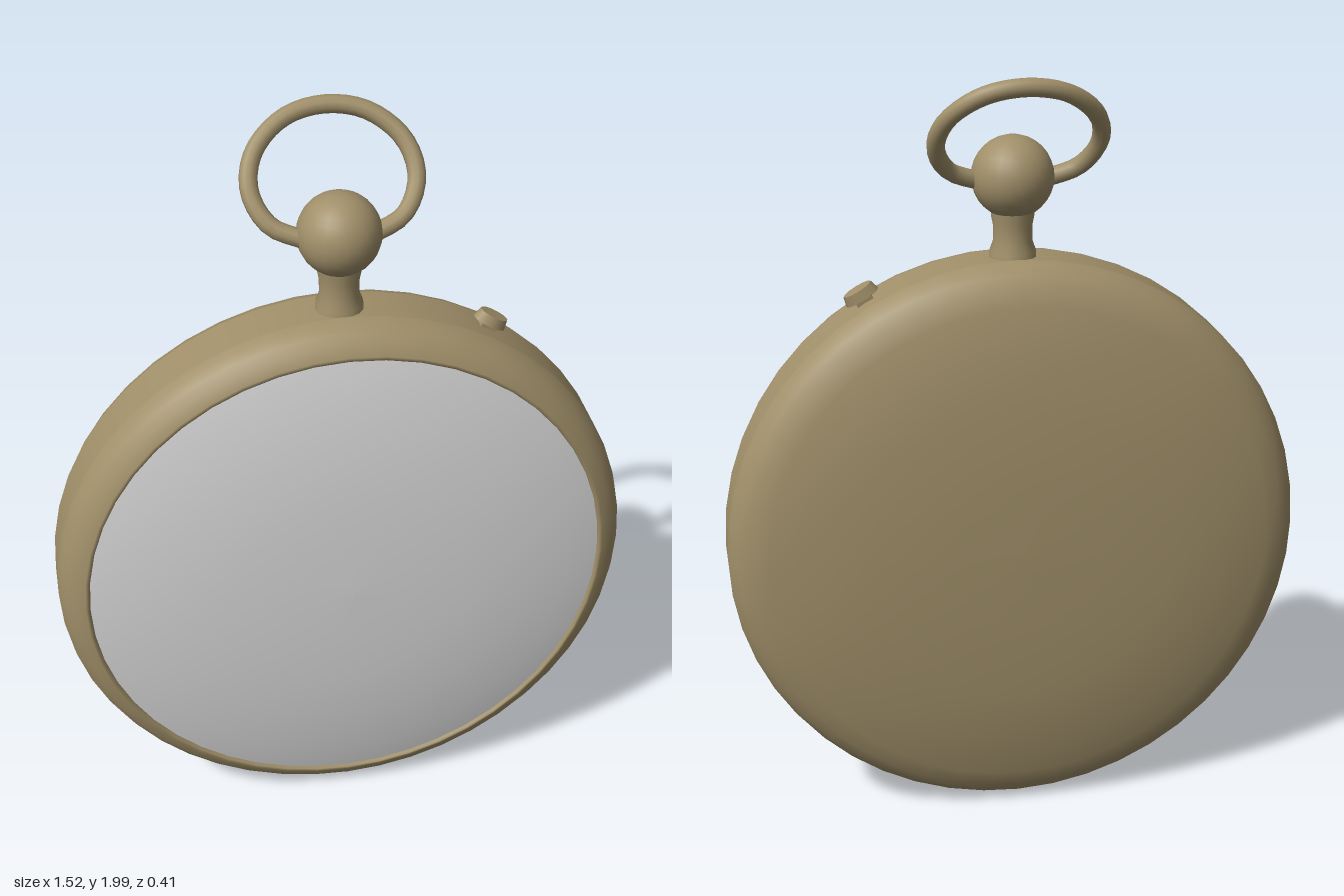
import * as THREE from 'three';

const CENTRE_Y = 0.765;

export function createModel() {
  const brass = new THREE.MeshStandardMaterial({ color: 0xa08f69 });
  brass.name = 'aged brass';
  const glass = new THREE.MeshStandardMaterial({ color: 0xd6d6d6 });
  glass.name = 'pale glass';

  const watch = new THREE.Group();
  watch.name = 'pocketWatch';

  const add = (name, geometry, material, x = 0, y = 0, z = 0, parent = watch) => {
    const mesh = new THREE.Mesh(geometry, material);
    mesh.name = name;
    mesh.position.set(x, y, z);
    parent.add(mesh);
    return mesh;
  };

  // Profile of [radius, z], listed from back to front, turned about the z axis
  const turned = (name, profile, material) => {
    const points = profile.map(([r, z]) => new THREE.Vector2(r, z));
    const geometry = new THREE.LatheGeometry(points, 48).rotateX(Math.PI / 2);
    return add(name, geometry, material, 0, CENTRE_Y, 0);
  };

  // Case: domed back, straight band, rounded bezel and domed glass
  turned('backCover', [[0, -0.204], [0.2, -0.202], [0.4, -0.193], [0.55, -0.173],
    [0.66, -0.148], [0.705, -0.131], [0.735, -0.108], [0.753, -0.082], [0.76, -0.06]], brass);
  turned('caseBand', [[0.76, -0.06], [0.76, 0.06]], brass);
  turned('bezel', [[0.76, 0.06], [0.755, 0.085], [0.742, 0.11], [0.722, 0.131],
    [0.695, 0.146], [0.686, 0.147], [0.682, 0.135]], brass);
  turned('glass', [[0.684, 0.138], [0.6, 0.158], [0.45, 0.181], [0.3, 0.193],
    [0.15, 0.199], [0, 0.201]], glass);

  // Flared neck and winding ball
  const neckProfile = [[0.062, 1.505], [0.06, 1.535], [0.051, 1.56], [0.051, 1.605],
    [0.056, 1.63], [0.056, 1.65]].map(([r, y]) => new THREE.Vector2(r, y));
  add('neck', new THREE.LatheGeometry(neckProfile, 16), brass);
  add('crownBall', new THREE.SphereGeometry(0.105, 24, 16), brass, 0, 1.725, 0);

  // Hanging ring, leaning backward from the sides of the ball
  const half = [[0.08, 1.715], [0.165, 1.75], [0.205, 1.82], [0.185, 1.895], [0.105, 1.957]];
  const path = [
    ...half.map(([x, y]) => [-x, y]), [0, 1.977],
    ...half.slice().reverse(),
  ].map(([x, y]) => new THREE.Vector3(x, y, -(y - 1.72) * 0.72));
  const bow = new THREE.CatmullRomCurve3(path);
  add('hangingRing', new THREE.TubeGeometry(bow, 40, 0.023, 10), brass);

  // Push button on the upper rim, pointing outward
  const button = new THREE.Group();
  button.name = 'pushButton';
  button.position.set(0, CENTRE_Y, 0);
  button.rotation.z = -Math.PI / 6;
  watch.add(button);
  add('buttonStem', new THREE.BoxGeometry(0.045, 0.04, 0.035), brass, 0, 0.762, 0, button);
  add('buttonCap', new THREE.CylinderGeometry(0.04, 0.047, 0.026, 12).scale(1, 1, 0.65),
    brass, 0, 0.784, 0, button);

  return watch;
}
